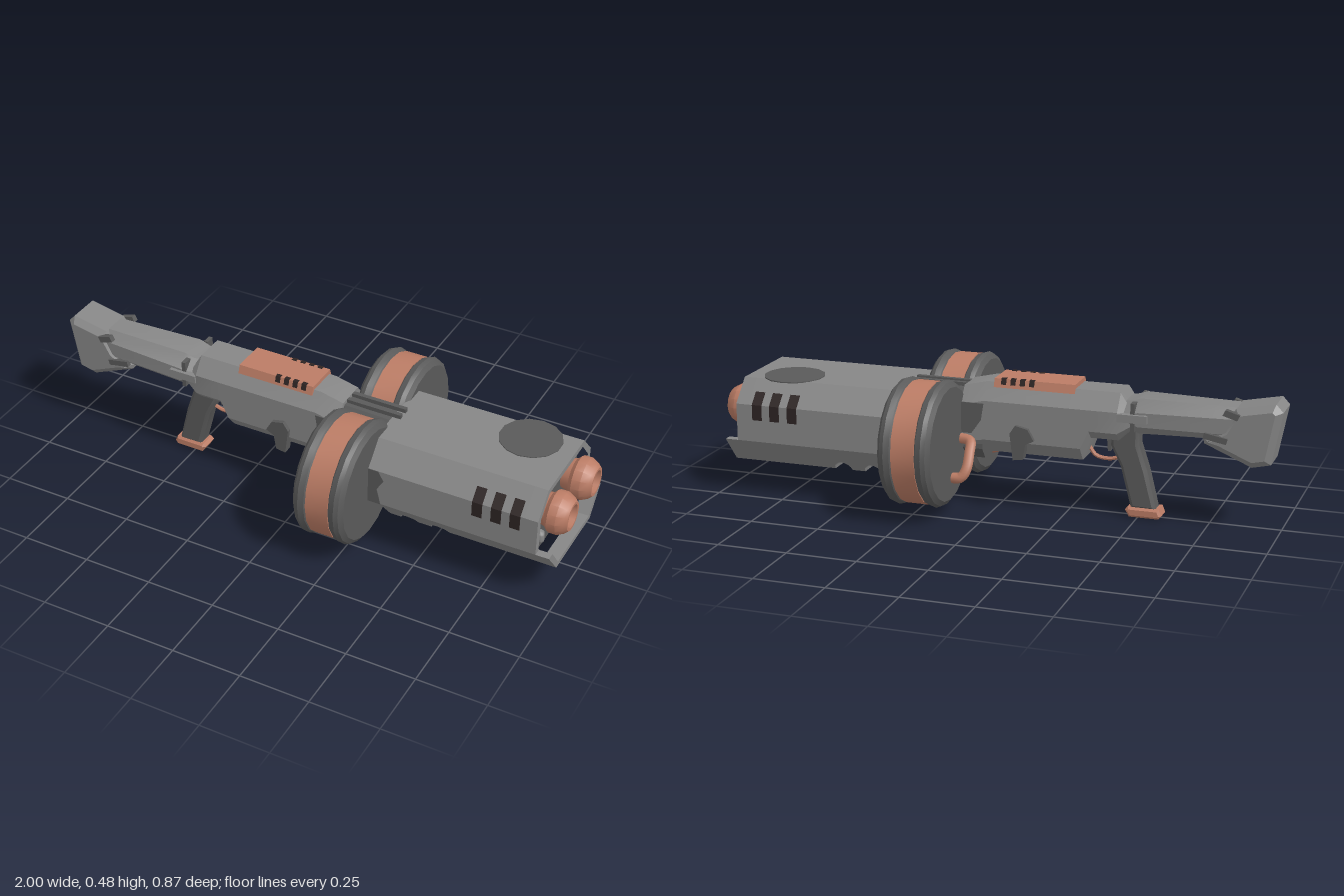
import * as THREE from 'three';
import { toCreasedNormals } from 'three/addons/utils/BufferGeometryUtils.js';

const paint = (name, color) => {
  const m = new THREE.MeshStandardMaterial({ color });
  m.name = name;
  return m;
};

export function createModel() {
  const group = new THREE.Group();
  const grey = paint('steel grey', 0x868686);
  const dark = paint('dark steel', 0x5a5a5a);
  const copper = paint('copper', 0xbb7c65);
  const bore = paint('bore black', 0x2d2423);

  const add = (name, geo, mat, crease = 0.5) => {
    const mesh = new THREE.Mesh(toCreasedNormals(geo, crease), mat);
    mesh.name = name;
    group.add(mesh);
    return mesh;
  };
  const box = (name, mat, x0, x1, y0, y1, z0, z1) =>
    add(name, new THREE.BoxGeometry(x1 - x0, y1 - y0, z1 - z0)
      .translate((x0 + x1) / 2, (y0 + y1) / 2, (z0 + z1) / 2), mat);
  const outline = (pts, Type = THREE.Shape) => new Type(pts.map(([a, b]) => new THREE.Vector2(a, b)));

  // Octagonal cross-section at x: bottom, top, half width, top cut (dz, dy), bottom cut (dz, dy)
  const oct = (x, yb, yt, w, tz, ty, bz, by) => [
    [yt, tz - w], [yt, w - tz], [yt - ty, w], [yb + by, w],
    [yb, w - bz], [yb, bz - w], [yb + by, -w], [yt - ty, -w],
  ].map(([y, z]) => new THREE.Vector3(x, y, z));

  // Skin a row of cross-sections and cap both ends
  const loft = (rings) => {
    const n = rings[0].length, index = [];
    for (let i = 0; i < rings.length - 1; i++) {
      for (let j = 0; j < n; j++) {
        const a = i * n + j, b = i * n + (j + 1) % n;
        index.push(a, b, a + n, b, b + n, a + n);
      }
    }
    const last = (rings.length - 1) * n;
    for (let j = 1; j < n - 1; j++) {
      index.push(0, j + 1, j, last, last + j, last + j + 1);
    }
    const geo = new THREE.BufferGeometry().setFromPoints(rings.flat());
    geo.setIndex(index);
    return geo;
  };
  // Profile in (z, y), pushed along x
  const alongX = (pts, x0, x1, hole) => {
    const shape = outline(pts);
    if (hole) shape.holes.push(outline(hole, THREE.Path));
    return new THREE.ExtrudeGeometry(shape, { depth: x1 - x0, bevelEnabled: false })
      .rotateY(Math.PI / 2).translate(x0, 0, 0);
  };
  // Profile in (x, y), from z0 to z1 with an optional chamfer
  const alongZ = (pts, z0, z1, bevel = 0) =>
    new THREE.ExtrudeGeometry(outline(pts), {
      depth: z1 - z0 - 2 * bevel, bevelEnabled: bevel > 0, bevelSize: bevel,
      bevelThickness: bevel, bevelOffset: -bevel, bevelSegments: 1,
    }).translate(0, 0, z0 + bevel);
  // Turned profile of (radius, x) around an axis parallel to x
  const turned = (pts, sides, y, z) =>
    new THREE.LatheGeometry(pts.map(([r, x]) => new THREE.Vector2(r, x)), sides)
      .rotateZ(-Math.PI / 2).translate(0, y, z);

  // Front housing, with two round grooves across the underside
  const housing = (x, yb) => {
    const k = 1 - (yb - 0.105) / 0.095;
    return oct(x, yb, 0.415, 0.23, 0.075, 0.08, 0.08 * k, 0.095 * k);
  };
  const rings = [housing(0.3, 0.19), housing(0.355, 0.19), housing(0.36, 0.105)];
  for (const cx of [0.435, 0.55]) {
    for (let i = 0; i <= 8; i++) {
      const a = Math.PI * (1 - i / 8);
      rings.push(housing(cx + 0.033 * Math.cos(a), 0.105 + 0.033 * Math.sin(a)));
    }
  }
  rings.push(housing(0.88, 0.105));
  add('housing', loft(rings), grey);

  // Rim, lower lip and recessed face
  const rim = [[-0.155, 0.415], [0.155, 0.415], [0.23, 0.335], [0.23, 0.2],
    [0.15, 0.105], [-0.15, 0.105], [-0.23, 0.2], [-0.23, 0.335]];
  const inner = [[-0.145, 0.395], [0.145, 0.395], [0.205, 0.327], [0.205, 0.208],
    [0.138, 0.122], [-0.138, 0.122], [-0.205, 0.208], [-0.205, 0.327]];
  add('rim', alongX(rim, 0.88, 0.927, inner), grey);
  add('lowerLip', alongX([[-0.23, 0.2], [-0.15, 0.105], [0.15, 0.105], [0.23, 0.2],
    [0.2, 0.2], [0.138, 0.122], [-0.138, 0.122], [-0.2, 0.2]], 0.925, 0.975), grey);
  add('frontPanel', alongX(inner, 0.878, 0.89), dark);

  // Core between the drums, and its top rails
  add('core', loft([oct(0.05, 0.17, 0.42, 0.085, 0.04, 0.05, 0.03, 0.04),
    oct(0.36, 0.17, 0.41, 0.085, 0.04, 0.05, 0.03, 0.04)]), dark);
  for (const z of [-0.02, 0.02]) box('topRail', dark, 0.1, 0.33, 0.415, 0.43, z - 0.008, z + 0.008);

  // Receiver
  add('receiver', loft([
    oct(-0.49, 0.33, 0.37, 0.085, 0.035, 0.015, 0.03, 0.015),
    oct(-0.44, 0.285, 0.45, 0.1, 0.045, 0.06, 0.03, 0.03),
    oct(-0.34, 0.285, 0.45, 0.1, 0.045, 0.06, 0.03, 0.03),
    oct(-0.31, 0.2, 0.45, 0.1, 0.045, 0.06, 0.04, 0.05),
    oct(0.04, 0.2, 0.45, 0.1, 0.045, 0.06, 0.04, 0.05),
    oct(0.125, 0.185, 0.43, 0.1, 0.045, 0.06, 0.04, 0.05),
  ]), grey);

  // Stock tube and butt
  add('stock', loft([oct(-0.86, 0.32, 0.43, 0.07, 0.03, 0.035, 0.02, 0.02),
    oct(-0.51, 0.315, 0.435, 0.095, 0.045, 0.04, 0.03, 0.03),
    oct(-0.48, 0.325, 0.425, 0.09, 0.04, 0.04, 0.03, 0.03),
    oct(-0.44, 0.325, 0.42, 0.08, 0.04, 0.04, 0.03, 0.03)]), grey);
  add('butt', alongZ([[-1, 0.43], [-0.975, 0.457], [-0.84, 0.43], [-0.8, 0.36], [-0.73, 0.32],
    [-0.735, 0.3], [-0.9, 0.23], [-0.965, 0.245]], -0.08, 0.08, 0.022), grey);

  // Grip, cap, trigger and guard
  add('grip', alongZ([[-0.5, 0.35], [-0.5, 0.26], [-0.53, 0.17], [-0.565, 0.03], [-0.475, 0.03],
    [-0.435, 0.18], [-0.4, 0.25], [-0.4, 0.33]], -0.034, 0.034, 0.012), dark);
  add('gripCap', alongZ([[-0.585, 0.012], [-0.575, 0], [-0.47, 0], [-0.455, 0.025], [-0.465, 0.036],
    [-0.575, 0.036]], -0.037, 0.037, 0.008), copper);
  add('triggerGuard', new THREE.TubeGeometry(new THREE.CatmullRomCurve3([
    [-0.44, 0.21], [-0.39, 0.195], [-0.34, 0.203], [-0.315, 0.235],
  ].map(([x, y]) => new THREE.Vector3(x, y, 0))), 12, 0.007, 6), copper, 1);
  add('trigger', alongZ([[-0.4, 0.29], [-0.395, 0.225], [-0.385, 0.225], [-0.38, 0.29]], -0.01, 0.01), dark);

  // Copper top cover
  add('topCover', alongX([[-0.072, 0.435], [0.072, 0.435], [0.062, 0.465], [-0.062, 0.465]], -0.28, 0.012), copper);

  // Dark stain on the housing roof
  add('roofPatch', new THREE.CylinderGeometry(0.11, 0.11, 0.004, 14).translate(0.765, 0.416, -0.08), dark);

  for (const s of [-1, 1]) {
    // Drum with copper band
    const z = s * 0.212, y = 0.257;
    const tyre = [[0, 0.122], [0.2, 0.122], [0.217, 0.135], [0.223, 0.15], [0.217, 0.17], [0.205, 0.18], [0, 0.18]];
    add('drumSide', turned(tyre, 20, y, z), dark);
    add('drumSide', turned(tyre.map(([r, x]) => [r, 0.434 - x]).reverse(), 20, y, z), dark);
    add('drumBand', turned([[0, 0.175], [0.215, 0.175], [0.215, 0.259], [0, 0.259]], 20, y, z), copper);

    // Feed pipe from receiver to drum
    add('feedPipe', new THREE.TubeGeometry(new THREE.CatmullRomCurve3([
      [0.13, 0.25, 0.105], [0.085, 0.245, 0.115], [0.075, 0.21, 0.15], [0.075, 0.16, 0.185],
      [0.09, 0.135, 0.195], [0.13, 0.13, 0.195],
    ].map(([px, py, pz]) => new THREE.Vector3(px, py, s * pz))), 24, 0.019, 8), copper, 1);

    // Muzzle, bore and stud
    const mz = s * 0.105;
    add('muzzle', turned([[0.05, 0.88], [0.06, 0.92], [0.075, 0.935], [0.075, 0.965], [0.062, 0.99],
      [0.052, 1], [0.042, 1], [0.04, 0.95]], 14, 0.3, mz), copper);
    add('muzzleBore', turned([[0.041, 0.95], [0, 0.952]], 14, 0.3, mz), bore);
    add('panelStud', new THREE.CapsuleGeometry(0.017, 0.02, 4, 8).translate(0.892, 0.175, mz), grey, 1);

    // Housing vents, folded over the shoulder
    for (const x of [0.712, 0.78, 0.847]) {
      add('vent', alongX([[s * 0.228, 0.28], [s * 0.233, 0.28], [s * 0.233, 0.336],
        [s * 0.196, 0.376], [s * 0.19, 0.374], [s * 0.228, 0.334]], x - 0.018, x + 0.018), bore);
    }
    // Cover slots
    for (let i = 0; i < 4; i++) {
      const x = -0.125 + i * 0.034;
      add('coverSlot', alongX([[s * 0.05, 0.463], [s * 0.05, 0.467], [s * 0.064, 0.467],
        [s * 0.071, 0.446], [s * 0.066, 0.446]], x - 0.009, x + 0.009), bore);
    }

    // Side latch, stock hinge and butt clip
    const sided = (name, pts, z0, z1, mat) => add(name, alongZ(pts, Math.min(s * z0, s * z1), Math.max(s * z0, s * z1)), mat);
    sided('sideLatch', [[-0.148, 0.265], [-0.125, 0.305], [-0.08, 0.315], [-0.06, 0.285], [-0.072, 0.19],
      [-0.108, 0.195], [-0.118, 0.25]], 0.08, 0.115, dark);
    sided('stockHinge', [[-0.545, 0.36], [-0.545, 0.388], [-0.44, 0.388], [-0.44, 0.36]], 0.085, 0.107, grey);
    sided('hingeBand', [[-0.5, 0.325], [-0.5, 0.425], [-0.485, 0.425], [-0.485, 0.325]], 0.06, 0.095, dark);
    sided('buttClip', [[-0.86, 0.415], [-0.81, 0.43], [-0.8, 0.41], [-0.85, 0.395]], 0.065, 0.086, dark);
    sided('buttStrap', [[-0.82, 0.33], [-0.74, 0.345], [-0.735, 0.325], [-0.815, 0.31]], 0.07, 0.088, dark);

    // Stains beside the drum
    sided('receiverPatch', [[0.04, 0.38], [0.125, 0.38], [0.125, 0.27], [0.085, 0.27], [0.05, 0.32]], 0.098, 0.102, dark);
    sided('housingPatch', [[0.3, 0.335], [0.35, 0.335], [0.37, 0.3], [0.345, 0.26], [0.36, 0.2], [0.3, 0.2]], 0.228, 0.232, dark);
  }
  return group;
}
